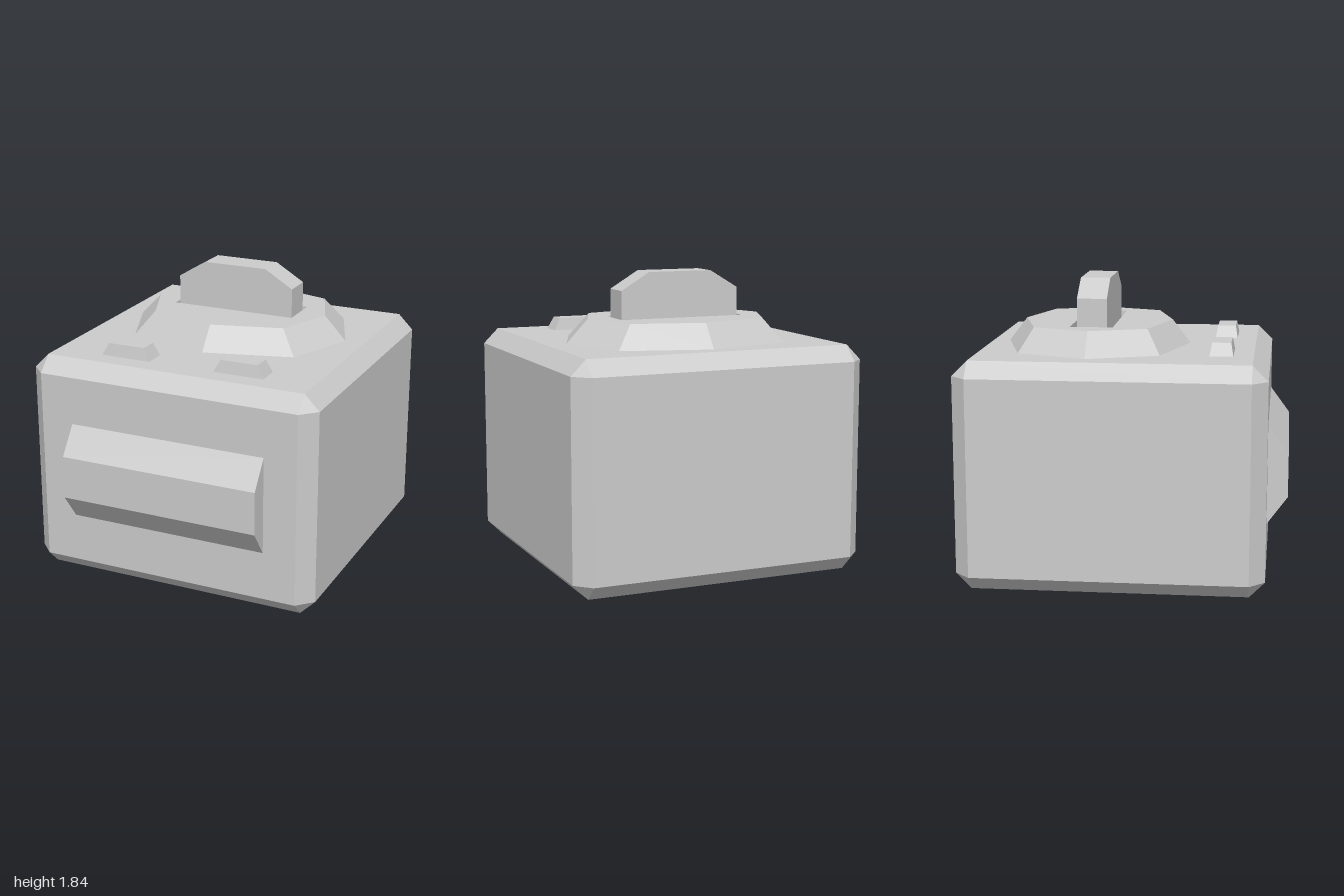
import * as THREE from 'three';
import { ConvexGeometry } from 'three/addons/geometries/ConvexGeometry.js';

const material = new THREE.MeshStandardMaterial({ color: 0xcccccc, flatShading: true });

function part(name, geometry) {
  const mesh = new THREE.Mesh(geometry, material);
  mesh.name = name;
  return mesh;
}

function polygon(points) {
  return new THREE.Shape(points.map(([x, y]) => new THREE.Vector2(x, y)));
}

// Box with every edge and corner cut by a flat chamfer, centred on the origin
function chamferedBox(w, h, d, c) {
  const points = [];
  for (const sx of [-1, 1]) for (const sy of [-1, 1]) for (const sz of [-1, 1]) {
    const [x, y, z] = [w / 2, h / 2, d / 2];
    points.push(
      new THREE.Vector3(sx * x, sy * (y - c), sz * (z - c)),
      new THREE.Vector3(sx * (x - c), sy * y, sz * (z - c)),
      new THREE.Vector3(sx * (x - c), sy * (y - c), sz * z)
    );
  }
  return new ConvexGeometry(points);
}

// Box standing on y = 0 whose top is narrower than its base
function taperedBox(w, h, d, topW, topD) {
  const geometry = new THREE.BoxGeometry(w, h, d).translate(0, h / 2, 0);
  const p = geometry.attributes.position;
  for (let i = 0; i < p.count; i++) {
    if (p.getY(i) > h / 2) {
      p.setX(i, Math.sign(p.getX(i)) * topW / 2);
      p.setZ(i, Math.sign(p.getZ(i)) * topD / 2);
    }
  }
  geometry.computeVertexNormals();
  return geometry;
}

// Octagonal collar with sloping sides and a rectangular slot through it
function collarGeometry(height) {
  const shape = polygon([
    [0.58, 0], [0.44, 0.35], [0, 0.47], [-0.44, 0.35],
    [-0.58, 0], [-0.44, -0.35], [0, -0.47], [0.44, -0.35]
  ]);
  shape.holes.push(polygon([[-0.405, -0.132], [-0.405, 0.132], [0.405, 0.132], [0.405, -0.132]]));
  const geometry = new THREE.ExtrudeGeometry(shape, { depth: height, bevelEnabled: false });
  geometry.rotateX(-Math.PI / 2);
  // Flare the outer rim at the base, leaving the slot straight
  const p = geometry.attributes.position;
  for (let i = 0; i < p.count; i++) {
    const inSlot = Math.abs(p.getX(i)) < 0.41 && Math.abs(p.getZ(i)) < 0.14;
    if (p.getY(i) < height / 2 && !inSlot) {
      p.setX(i, p.getX(i) * 1.24);
      p.setZ(i, p.getZ(i) * 1.24);
    }
  }
  geometry.computeVertexNormals();
  return geometry;
}

export function createModel() {
  const model = new THREE.Group();
  model.name = 'toaster';
  const top = 1.405;

  // Main housing
  const body = part('body', chamferedBox(1.88, top, 1.875, 0.095));
  body.position.set(0, top / 2, -0.0625);
  model.add(body);

  // Raised collar around the slot
  const collar = part('slotCollar', collarGeometry(0.147));
  collar.position.set(0, top, -0.22);
  model.add(collar);

  // Bread slice with cut upper corners
  const slice = polygon([
    [-0.39, 0], [0.39, 0], [0.39, 0.32], [0.207, 0.43], [-0.207, 0.43], [-0.39, 0.32]
  ]);
  const bread = part('breadSlice', new THREE.ExtrudeGeometry(slice, { depth: 0.185, bevelEnabled: false }));
  bread.position.set(0, top, -0.31);
  model.add(bread);

  // Pair of buttons on top
  for (const side of [-1, 1]) {
    const button = part(side > 0 ? 'leftButton' : 'rightButton', taperedBox(0.323, 0.077, 0.143, 0.24, 0.115));
    button.position.set(side * 0.375, top, 0.585);
    model.add(button);
  }

  // Wedge-shaped front panel: profile in (z, y) swept across x
  const profile = polygon([[0, 0.4], [0.125, 0.57], [0.125, 0.84], [0, 1.01]]);
  const panelGeometry = new THREE.ExtrudeGeometry(profile, { depth: 1.274, bevelEnabled: false });
  panelGeometry.rotateY(-Math.PI / 2).translate(0.637, 0, 0);
  const panel = part('frontPanel', panelGeometry);
  panel.position.z = 0.875;
  model.add(panel);

  return model;
}
